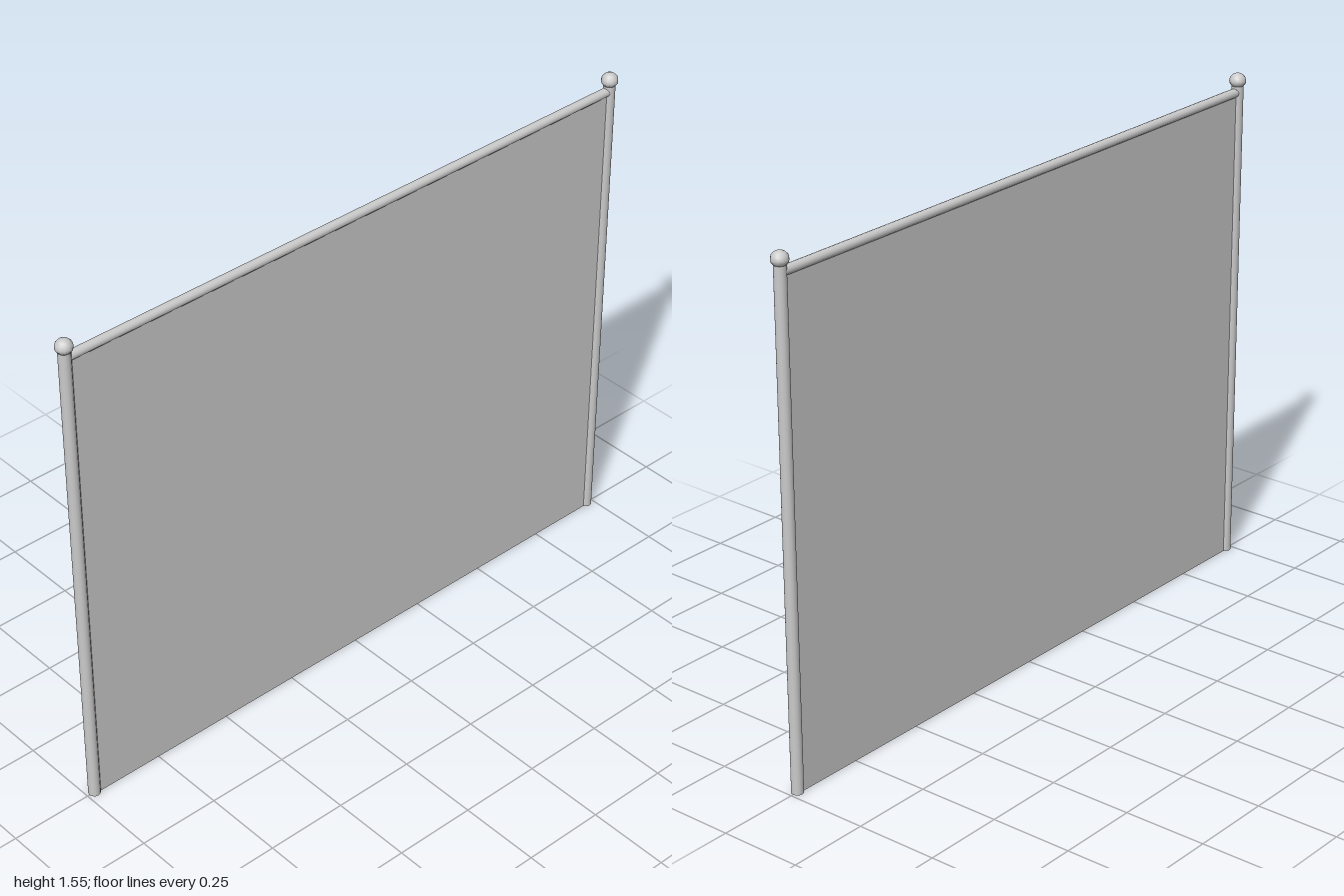
import * as THREE from 'three';

export function createModel() {
  const group = new THREE.Group();
  const material = new THREE.MeshStandardMaterial({ color: 0xcccccc });
  const add = (name, geometry, x, y) => {
    const mesh = new THREE.Mesh(geometry, material);
    mesh.name = name;
    mesh.position.set(x, y, 0);
    group.add(mesh);
    return mesh;
  };

  // Flat panel between the posts
  add('panel', new THREE.BoxGeometry(1.92, 1.49, 0.014), 0, 0.745);

  // Round rail along the top edge
  add('topRail', new THREE.CylinderGeometry(0.014, 0.014, 1.94, 12), 0, 1.491).rotation.z = Math.PI / 2;

  // Posts with domed caps
  const capProfile = [[0, -0.017], [0.018, -0.015], [0.024, -0.007], [0.025, 0], [0.023, 0.01], [0.016, 0.018], [0.008, 0.022], [0, 0.023]]
    .map(([r, y]) => new THREE.Vector2(r, y));
  for (const [side, x] of [['left', 0.975], ['right', -0.975]]) {
    add(side + 'Post', new THREE.CylinderGeometry(0.018, 0.018, 1.52, 12), x, 0.76);
    add(side + 'PostCap', new THREE.LatheGeometry(capProfile, 12), x, 1.526);
  }

  return group;
}
